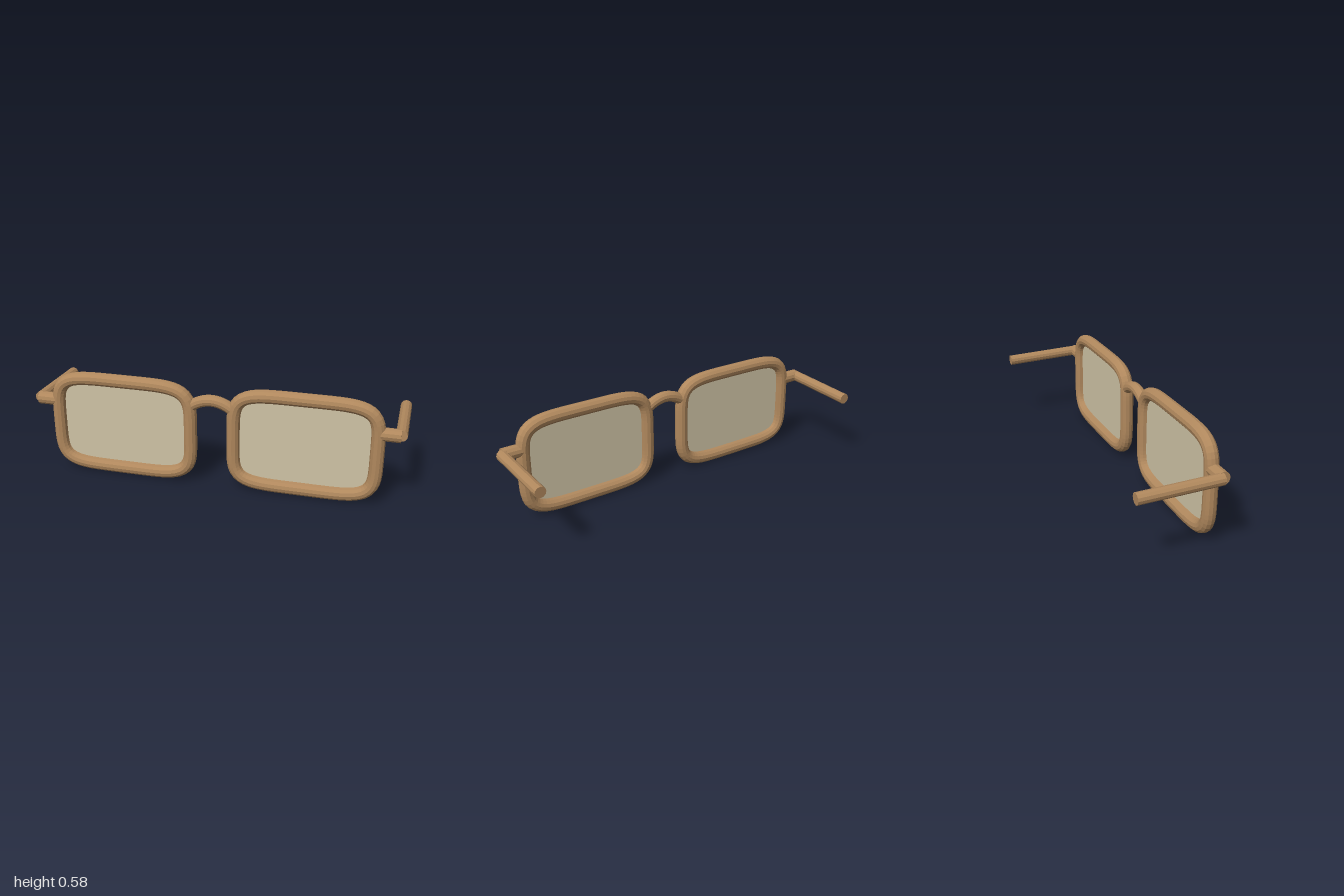
import * as THREE from 'three';

const FRONT_Z = 0.2, SIDES = 12;

// closed rounded-rectangle outline (superellipse), as 2D points
function outline(cx, cy, rx, ry, count = 96, power = 5) {
  const points = [];
  for (let i = 0; i < count; i++) {
    const a = (i / count) * Math.PI * 2;
    const c = Math.cos(a), s = Math.sin(a);
    const r = Math.pow(Math.abs(c) ** power + Math.abs(s) ** power, -1 / power);
    points.push(new THREE.Vector2(cx + rx * r * c, cy + ry * r * s));
  }
  return points;
}

export function createModel() {
  const model = new THREE.Group();
  model.name = 'eyeglasses';
  const frame = new THREE.MeshStandardMaterial({ color: 0xb0885d });
  frame.name = 'brown frame';
  frame.flatShading = true;
  const glass = new THREE.MeshStandardMaterial({ color: 0xd0c4a6, side: THREE.DoubleSide });
  glass.name = 'beige lens';

  const add = (name, geometry, material) => {
    const mesh = new THREE.Mesh(geometry, material);
    mesh.name = name;
    model.add(mesh);
    return mesh;
  };

  // straight round bar between two points
  const bar = (name, from, to, radius) => {
    const dir = to.clone().sub(from);
    const mesh = add(name, new THREE.CylinderGeometry(radius, radius, dir.length(), SIDES), frame);
    mesh.position.copy(from).add(to).multiplyScalar(0.5);
    mesh.quaternion.setFromUnitVectors(new THREE.Vector3(0, 1, 0), dir.normalize());
  };

  for (const [side, x] of [['left', 1], ['right', -1]]) {
    // rim around the lens
    const cx = x * 0.4875, cy = 0.289;
    const path = outline(cx, cy, 0.372, 0.252).map(p => new THREE.Vector3(p.x, p.y, FRONT_Z));
    const curve = new THREE.CatmullRomCurve3(path, true);
    add(side + 'Rim', new THREE.TubeGeometry(curve, 96, 0.036, SIDES, true), frame);

    // lens, tucked into the middle of the rim
    const lens = add(side + 'Lens', new THREE.ShapeGeometry(new THREE.Shape(outline(cx, cy, 0.368, 0.248))), glass);
    lens.position.z = FRONT_Z;

    // hinge stub and temple arm
    bar(side + 'Hinge', new THREE.Vector3(x * 0.87, 0.402, FRONT_Z), new THREE.Vector3(x * 0.97, 0.402, FRONT_Z), 0.035);
    bar(side + 'Temple', new THREE.Vector3(x * 0.97, 0.402, FRONT_Z), new THREE.Vector3(x * 0.97, 0.388, -0.232), 0.03);
  }

  // arched bridge between the rims
  const arch = new THREE.QuadraticBezierCurve3(
    new THREE.Vector3(-0.125, 0.435, FRONT_Z),
    new THREE.Vector3(0, 0.535, FRONT_Z),
    new THREE.Vector3(0.125, 0.435, FRONT_Z));
  add('bridge', new THREE.TubeGeometry(arch, 20, 0.031, SIDES, false), frame);

  return model;
}
